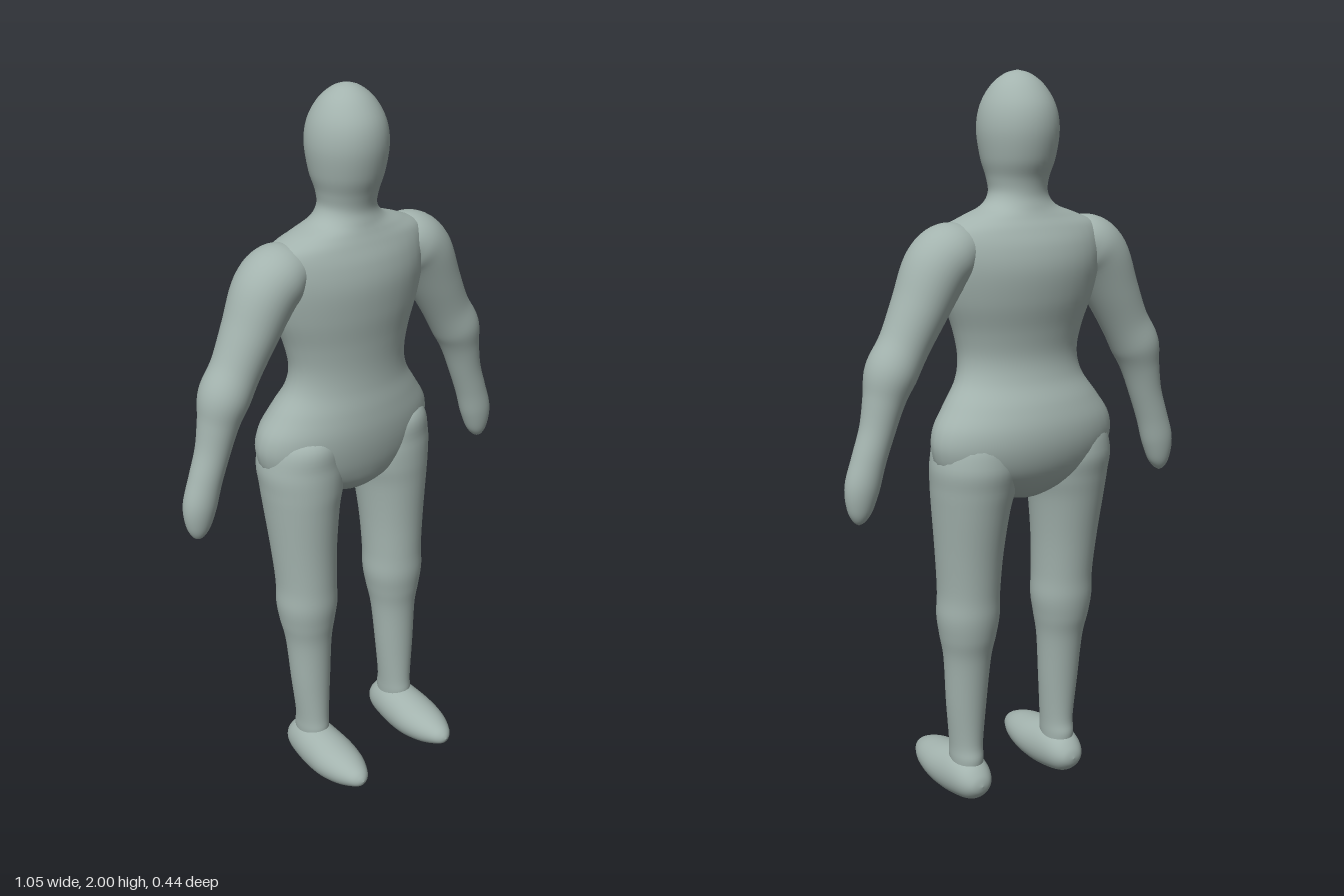
import * as THREE from 'three';

const SEG = 36, STEPS = 6;
const Y = new THREE.Vector3(0, 1, 0);
const Z = new THREE.Vector3(0, 0, 1);

// Smooth interpolation of a section list at position s
function sample(list, s) {
  const n = list.length - 1;
  const i = Math.min(Math.floor(s), n - 1), f = s - i;
  const at = (k) => list[Math.max(0, Math.min(n, k))];
  return list[i].map((b, k) => {
    const a = at(i - 1)[k], c = at(i + 1)[k], d = at(i + 2)[k];
    return b + 0.5 * f * (c - a + f * (2 * a - 5 * b + 4 * c - d + f * (3 * (b - c) + d - a)));
  });
}

// Loft of ellipses. Section: [x, y, z, half width, half depth];
// v is the depth direction, axis fixes the ring direction (else it follows the path).
function loft(sections, v, axis) {
  const rows = (sections.length - 1) * STEPS;
  const pos = [], index = [];
  const point = (s) => new THREE.Vector3(...sample(sections, s).slice(0, 3));
  for (let r = 0; r <= rows; r++) {
    const s = r / STEPS;
    const [x, y, z, w, d] = sample(sections, s);
    const t = axis || point(Math.min(s + 0.3, sections.length - 1))
      .sub(point(Math.max(s - 0.3, 0))).normalize();
    const u = new THREE.Vector3().crossVectors(v, t).normalize();
    for (let j = 0; j < SEG; j++) {
      const a = (j / SEG) * Math.PI * 2;
      const p = new THREE.Vector3(x, y, z)
        .addScaledVector(u, Math.cos(a) * Math.max(w, 0))
        .addScaledVector(v, Math.sin(a) * Math.max(d, 0));
      pos.push(p.x, p.y, p.z);
      if (r < rows) {
        const k = r * SEG, n = (j + 1) % SEG;
        index.push(k + j, k + n, k + SEG + j, k + n, k + SEG + n, k + SEG + j);
      }
    }
  }
  const g = new THREE.BufferGeometry();
  g.setAttribute('position', new THREE.Float32BufferAttribute(pos, 3));
  g.setIndex(index);
  g.computeVertexNormals();
  return g;
}

// Upright profile: [y, half width, front z, back z]
const BODY = [
  [0.87, 0, -0.06, -0.06], [0.885, 0.06, -0.01, -0.12], [0.92, 0.15, 0.03, -0.165],
  [0.97, 0.245, 0.05, -0.2], [1.03, 0.274, 0.062, -0.218], [1.09, 0.268, 0.066, -0.218],
  [1.15, 0.23, 0.062, -0.2], [1.21, 0.19, 0.054, -0.172], [1.27, 0.179, 0.052, -0.16],
  [1.34, 0.193, 0.057, -0.168], [1.42, 0.222, 0.067, -0.186], [1.5, 0.242, 0.071, -0.194],
  [1.56, 0.248, 0.062, -0.184], [1.605, 0.235, 0.046, -0.163], [1.633, 0.175, 0.035, -0.146],
  [1.658, 0.108, 0.027, -0.135], [1.69, 0.081, 0.021, -0.127], [1.73, 0.083, 0.03, -0.132],
  [1.78, 0.097, 0.048, -0.152], [1.85, 0.106, 0.06, -0.164], [1.91, 0.097, 0.052, -0.155],
  [1.96, 0.07, 0.022, -0.124], [1.99, 0.034, -0.015, -0.086], [2.0, 0, -0.05, -0.05],
];

// [y, outer x, inner x, front z, back z]
const LEG = [
  [0.08, 0.195, 0.115, 0.015, -0.08], [0.13, 0.2, 0.112, 0.03, -0.088],
  [0.18, 0.201, 0.11, 0.027, -0.082], [0.3, 0.213, 0.1, 0.026, -0.09],
  [0.43, 0.222, 0.09, 0.028, -0.105], [0.5, 0.235, 0.078, 0.037, -0.122],
  [0.56, 0.243, 0.069, 0.044, -0.132], [0.63, 0.241, 0.07, 0.043, -0.136],
  [0.74, 0.249, 0.065, 0.044, -0.15], [0.86, 0.26, 0.052, 0.05, -0.172],
  [0.93, 0.266, 0.036, 0.054, -0.186], [1.0, 0.268, 0.03, 0.052, -0.196],
  [1.08, 0.24, 0.06, 0.04, -0.17], [1.14, 0.15, 0.15, -0.06, -0.06],
];

// [z, half width, bottom y, top y]
const FOOT = [
  [-0.117, 0, 0.068, 0.068], [-0.108, 0.03, 0.042, 0.096], [-0.08, 0.051, 0.019, 0.125],
  [-0.03, 0.062, 0.007, 0.142], [0.03, 0.067, 0.003, 0.139], [0.09, 0.067, 0.01, 0.13],
  [0.15, 0.055, 0.024, 0.118], [0.195, 0.034, 0.042, 0.1], [0.213, 0.017, 0.054, 0.085],
  [0.22, 0, 0.07, 0.07],
];

// [x, y, radius across, radius in depth]
const ARM = [
  [0.13, 1.565, 0, 0], [0.15, 1.562, 0.045, 0.06], [0.205, 1.55, 0.08, 0.088],
  [0.255, 1.51, 0.085, 0.09], [0.305, 1.415, 0.074, 0.079], [0.352, 1.325, 0.066, 0.069],
  [0.392, 1.255, 0.067, 0.071], [0.413, 1.19, 0.054, 0.058], [0.434, 1.115, 0.046, 0.048],
  [0.46, 1.04, 0.045, 0.044], [0.481, 0.97, 0.046, 0.042], [0.489, 0.915, 0.034, 0.032],
  [0.492, 0.885, 0.017, 0.018], [0.492, 0.873, 0, 0],
];

export function createModel() {
  const model = new THREE.Group();
  model.name = 'figure';
  const skin = new THREE.MeshStandardMaterial({ color: 0xa3b3ae });
  skin.name = 'grey green';
  const add = (name, geometry) => {
    const mesh = new THREE.Mesh(geometry, skin);
    mesh.name = name;
    model.add(mesh);
  };

  // Pelvis, chest, neck and head in one skin
  add('torsoAndHead', loft(
    BODY.map(([y, w, f, b]) => [0, y, (f + b) / 2, w, (f - b) / 2]), Z, Y));

  // Limbs, mirrored
  for (const [side, m] of [['left', 1], ['right', -1]]) {
    add(side + 'Arm', loft(ARM.map(([x, y, w, d]) => [m * x, y, -0.06, w, d]), Z));
    add(side + 'Leg', loft(LEG.map(([y, o, i, f, b]) =>
      [m * (o + i) / 2, y, (f + b) / 2, (o - i) / 2, (f - b) / 2]), Z, Y));
    add(side + 'Foot', loft(FOOT.map(([z, w, b, t]) =>
      [m * 0.157, (b + t) / 2, z, w, (t - b) / 2]), Y, Z));
  }
  return model;
}
